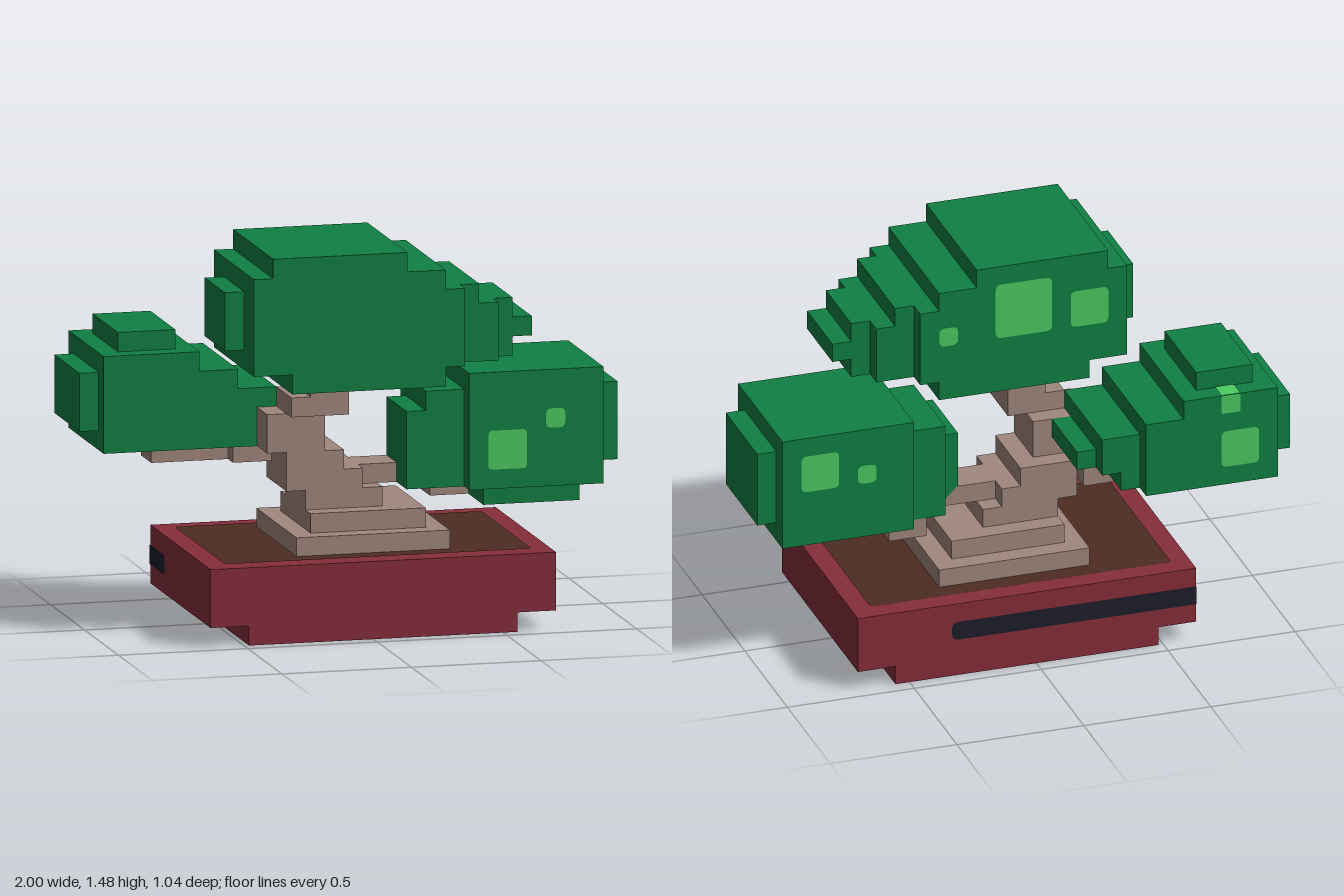
import * as THREE from 'three';

// Everything sits on a grid of 27 x 20 x 14 cells
const U = 2 / 27;
const gx = i => -1 + i * U, gy = j => j * U, gz = k => (k - 7) * U;

const mat = (name, color) => {
  const m = new THREE.MeshStandardMaterial({ color });
  m.name = name;
  return m;
};

export function createModel() {
  const leaf = mat('leaf green', 0x0f8043);
  const leafLight = mat('light leaf green', 0x4ccc62);
  const bark = mat('bark', 0xa1887f);
  const clay = mat('red clay', 0x872d3b);
  const soil = mat('soil', 0x4e2c23);
  const band = mat('dark band', 0x1c1e29);

  const root = new THREE.Group();
  root.name = 'pottedTree';

  const part = name => {
    const g = new THREE.Group();
    g.name = name;
    root.add(g);
    return g;
  };

  // Blocks given as cell ranges: [i0, i1, j0, j1, k0, k1]
  const blocks = (group, name, material, list) => {
    for (const [i0, i1, j0, j1, k0, k1] of list) {
      const m = new THREE.Mesh(
        new THREE.BoxGeometry((i1 - i0) * U, (j1 - j0) * U, (k1 - k0) * U), material);
      m.position.set(gx((i0 + i1) / 2), gy((j0 + j1) / 2), gz((k0 + k1) / 2));
      m.name = name;
      group.add(m);
    }
  };

  // Flat painted patch with rounded corners; rl / rr are the left / right radii
  const patch = (group, name, material, side, [i0, i1, j0, j1, k0, k1], rl = 0.3 * U, rr = rl) => {
    const w = (side === 'west' ? k1 - k0 : i1 - i0) * U / 2;
    const h = (side === 'top' ? k1 - k0 : j1 - j0) * U / 2;
    const s = new THREE.Shape();
    s.moveTo(-w + rl, -h);
    s.lineTo(w - rr, -h);
    s.quadraticCurveTo(w, -h, w, -h + rr);
    s.lineTo(w, h - rr);
    s.quadraticCurveTo(w, h, w - rr, h);
    s.lineTo(-w + rl, h);
    s.quadraticCurveTo(-w, h, -w, h - rl);
    s.lineTo(-w, -h + rl);
    s.quadraticCurveTo(-w, -h, -w + rl, -h);
    const m = new THREE.Mesh(new THREE.ShapeGeometry(s, 4), material);
    m.position.set(gx((i0 + i1) / 2), gy((j0 + j1) / 2), gz((k0 + k1) / 2));
    const lift = 0.003;
    if (side === 'front') m.position.z += lift;
    if (side === 'back') { m.rotation.y = Math.PI; m.position.z -= lift; }
    if (side === 'west') { m.rotation.y = -Math.PI / 2; m.position.x -= lift; }
    if (side === 'top') { m.rotation.x = -Math.PI / 2; m.position.y += lift; }
    m.name = name;
    group.add(m);
  };

  // Pot with soil and a band wrapping round one rear corner
  const pot = part('pot');
  blocks(pot, 'potBody', clay, [[5, 23, 1, 4, 1, 13]]);
  blocks(pot, 'potFoot', clay, [[7, 21, 0, 1, 1, 13]]);
  patch(pot, 'soil', soil, 'top', [6, 22, 4, 4, 2, 12]);
  patch(pot, 'bandBack', band, 'back', [5, 18, 2, 3, 1, 1], 0.35 * U, 0);
  patch(pot, 'bandSide', band, 'west', [5, 5, 2, 3, 1, 4], 0, 0.35 * U);

  // Stepped trunk and its branches
  const trunk = part('trunk');
  blocks(trunk, 'trunkStep', bark, [
    [10, 18, 4, 5, 3, 11],
    [11, 17, 5, 6, 4, 10],
    [11, 15, 6, 7, 5, 9],
    [10, 14, 7, 8, 5, 9],
    [10, 13, 8, 9, 5, 9],
    [9, 12, 9, 11, 6, 9],
    [10, 13, 11, 12, 7, 10],
    [11, 13, 12, 13, 7, 10],
  ]);
  blocks(trunk, 'rightBranch', bark, [[8, 10, 8, 9, 4, 6], [4, 8, 8, 9, 3, 5]]);
  blocks(trunk, 'leftBranch', bark, [[14, 17, 7, 8, 6, 8], [18, 20, 6, 7, 5, 7]]);

  // Highest leaf cloud
  const top = part('topFoliage');
  blocks(top, 'topLeaves', leaf, [
    [9, 17, 13, 14, 6, 14],
    [7, 18, 14, 18, 6, 14],
    [7, 17, 18, 19, 6, 14],
    [8, 15, 19, 20, 6, 14],
    [6, 7, 15, 18, 8, 12],
    [18, 19, 14, 18, 7, 13],
    [19, 20, 14, 17, 7, 13],
    [20, 21, 14, 17, 8, 12],
    [21, 22, 15, 16, 8, 12],
  ]);
  for (const [i0, i1, j0, j1] of [[16, 17, 16, 17], [11, 14, 16, 19], [8, 10, 16, 18]])
    patch(top, 'topHighlight', leafLight, 'back', [i0, i1, j0, j1, 6, 6]);

  // Leaf cloud on the model's left
  const left = part('leftFoliage');
  blocks(left, 'leftLeaves', leaf, [
    [19, 26, 7, 13, 4, 11],
    [26, 27, 8, 12, 5, 10],
    [20, 25, 6, 7, 6, 10],
    [17, 19, 7, 12, 5, 10],
    [16, 17, 7, 11, 6, 10],
  ]);
  patch(left, 'leftHighlight', leafLight, 'front', [20, 22, 8, 10, 11, 11], 0.2 * U);
  patch(left, 'leftHighlight', leafLight, 'front', [23, 24, 10, 11, 11, 11]);
  patch(left, 'leftHighlight', leafLight, 'back', [23, 25, 10, 12, 4, 4]);
  patch(left, 'leftHighlight', leafLight, 'back', [21, 22, 10, 11, 4, 4]);

  // Leaf cloud on the model's right
  const right = part('rightFoliage');
  blocks(right, 'rightLeaves', leaf, [
    [1, 6, 9, 14, 0, 7],
    [6, 8, 9, 13, 0, 7],
    [2, 5, 14, 15, 1, 6],
    [0, 1, 10, 13, 1, 6],
    [8, 9, 9, 10, 1, 7],
    [8, 10, 10, 12, 1, 7],
    [10, 11, 10, 11, 2, 6],
  ]);
  patch(right, 'rightHighlight', leafLight, 'back', [2, 4, 10, 12, 0, 0]);
  patch(right, 'rightHighlight', leafLight, 'back', [3, 4, 13, 14, 0, 0], 0.1 * U);
  patch(right, 'rightHighlight', leafLight, 'top', [3, 4, 14, 14, 0, 1], 0.1 * U);

  return root;
}
